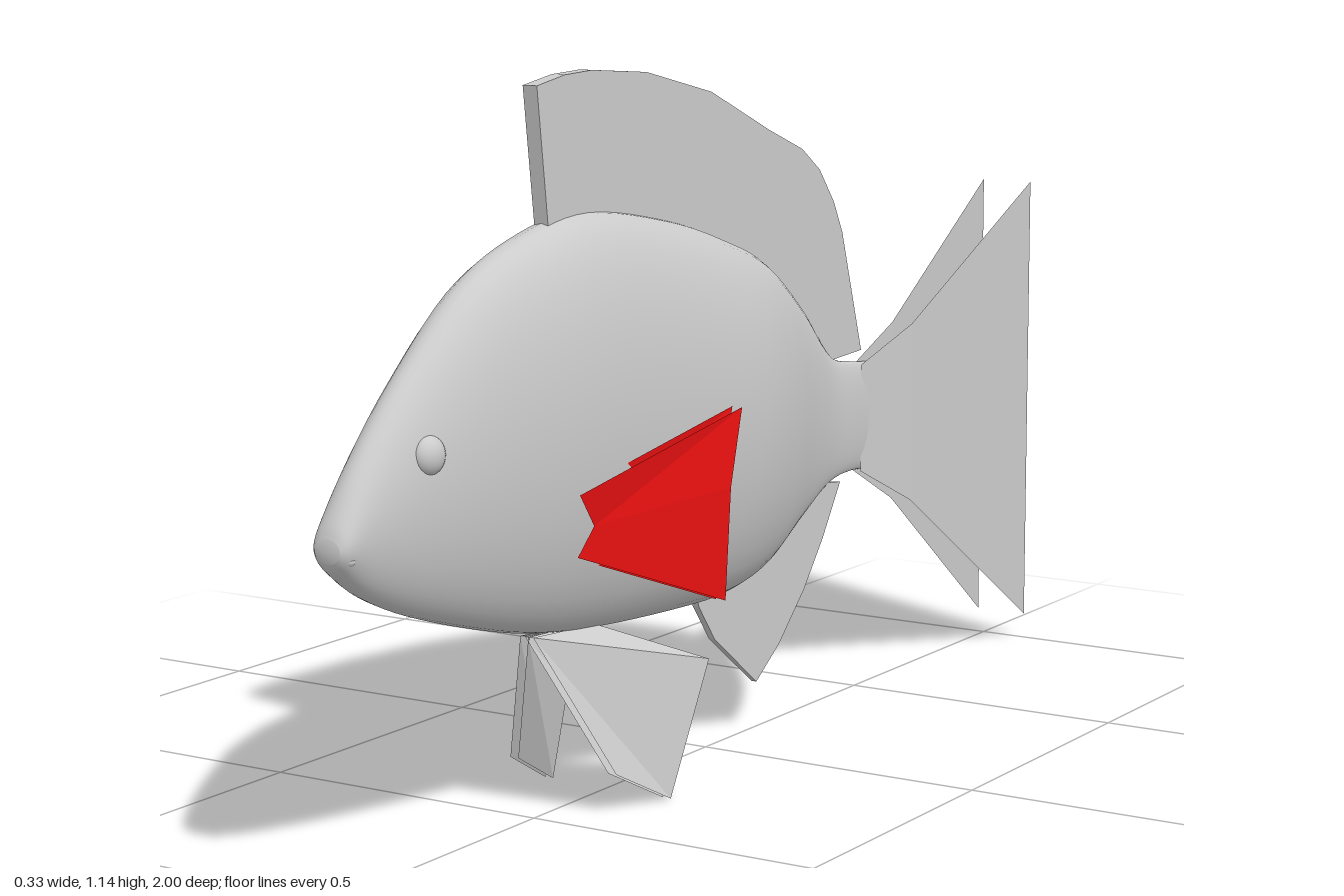
import * as THREE from 'three';

const grey = new THREE.MeshStandardMaterial({ color: 0xcccccc, side: THREE.DoubleSide });
const red = new THREE.MeshStandardMaterial({ color: 0xee1111, side: THREE.DoubleSide });

function add(group, name, geometry, material = grey) {
  const mesh = new THREE.Mesh(geometry, material);
  mesh.name = name;
  group.add(mesh);
  return mesh;
}

// Body stations: z, top y, bottom y, half width
const stations = [
  [1.0, 0.53, 0.495, 0.022], [0.985, 0.56, 0.475, 0.033], [0.93, 0.635, 0.435, 0.043],
  [0.83, 0.735, 0.39, 0.06], [0.675, 0.855, 0.34, 0.083], [0.515, 0.915, 0.3, 0.1],
  [0.35, 0.935, 0.277, 0.107], [0.13, 0.9, 0.262, 0.112], [-0.03, 0.855, 0.26, 0.11],
  [-0.16, 0.805, 0.283, 0.085], [-0.29, 0.715, 0.34, 0.046], [-0.4, 0.615, 0.388, 0.02],
  [-0.48, 0.593, 0.398, 0.016], [-0.56, 0.585, 0.392, 0.014],
];

// Smooth elliptical rings lofted from nose to tail root
function bodyGeometry(rings = 72, sides = 40) {
  const rail = (k) => new THREE.SplineCurve(stations.map((s) => new THREE.Vector2(s[0], s[k])));
  const [top, bottom, width] = [1, 2, 3].map(rail);
  const pos = [], index = [];
  for (let i = 0; i <= rings; i++) {
    const u = i / rings;
    const t = top.getPoint(u), b = bottom.getPoint(u).y, w = width.getPoint(u).y;
    for (let j = 0; j < sides; j++) {
      const a = (j / sides) * Math.PI * 2;
      pos.push(w * Math.cos(a), (t.y + b) / 2 + ((t.y - b) / 2) * Math.sin(a), t.x);
      if (i === rings) continue;
      const p = i * sides + j, q = i * sides + ((j + 1) % sides);
      index.push(p, p + sides, q, q, p + sides, q + sides);
    }
  }
  // End caps
  const n = pos.length / 3, last = rings * sides;
  pos.push(0, 0.5125, 1.004, 0, 0.4885, -0.56);
  for (let j = 0; j < sides; j++) {
    const k = (j + 1) % sides;
    index.push(n, j, k, n + 1, last + k, last + j);
  }
  const g = new THREE.BufferGeometry();
  g.setAttribute('position', new THREE.Float32BufferAttribute(pos, 3));
  g.setIndex(index);
  g.computeVertexNormals();
  return g;
}

// Upright fin plate from a z,y outline, thinner towards the rear
function plateGeometry(outline, thickness) {
  const shape = new THREE.Shape(outline.map(([z, y]) => new THREE.Vector2(z, y)));
  const g = new THREE.ExtrudeGeometry(shape, { depth: thickness, bevelEnabled: false });
  g.rotateY(-Math.PI / 2).translate(thickness / 2, 0, 0);
  const p = g.attributes.position;
  for (let i = 0; i < p.count; i++) {
    p.setX(i, p.getX(i) * THREE.MathUtils.mapLinear(p.getZ(i), -0.5, 0.5, 0.3, 1));
  }
  g.computeVertexNormals();
  return g;
}

// Flat membrane fanned out from its first corner
function sheetGeometry(points, dx = 0, mirror = 1) {
  const pos = [];
  for (let i = 1; i < points.length - 1; i++) {
    for (const [x, y, z] of [points[0], points[i], points[i + 1]]) pos.push((x + dx) * mirror, y, z);
  }
  const g = new THREE.BufferGeometry();
  g.setAttribute('position', new THREE.Float32BufferAttribute(pos, 3));
  g.computeVertexNormals();
  return g;
}

export function createModel() {
  const fish = new THREE.Group();
  fish.name = 'fish';
  add(fish, 'body', bodyGeometry());

  // Lips
  for (const [name, y, z] of [['upperLip', 0.52, 0.984], ['lowerLip', 0.498, 0.978]]) {
    const lip = add(fish, name, new THREE.SphereGeometry(1, 20, 12));
    lip.scale.set(0.033, 0.013, 0.018);
    lip.position.set(0, y, z);
  }

  // Dorsal and anal fins
  add(fish, 'dorsalFin', plateGeometry([
    [0.465, 0.9], [0.495, 1.135], [0.42, 1.147], [0.345, 1.15], [0.19, 1.138], [-0.005, 1.095],
    [-0.19, 1.02], [-0.3, 0.98], [-0.36, 0.94], [-0.41, 0.88], [-0.44, 0.825], [-0.51, 0.61],
    [-0.4, 0.605], [-0.28, 0.68], [-0.1, 0.8], [0.2, 0.87],
  ], 0.026));
  add(fish, 'analFin', plateGeometry([
    [0.04, 0.28], [0.03, 0.25], [-0.02, 0.185], [-0.155, 0.085], [-0.23, 0.135], [-0.315, 0.215],
    [-0.38, 0.295], [-0.44, 0.385], [-0.36, 0.395], [-0.2, 0.33],
  ], 0.018));

  // Tail: two membranes spreading apart towards the rear
  for (const [name, root, mid, end] of [['tailRight', -0.005, 0.0, -0.012], ['tailLeft', 0.01, 0.04, 0.085]]) {
    const tail = new THREE.Group();
    tail.name = name;
    add(tail, name + 'Root', sheetGeometry([
      [root, 0.585, -0.5], [mid, 0.645, -0.63], [mid, 0.325, -0.63], [root, 0.395, -0.5]]));
    add(tail, name + 'Fan', sheetGeometry([
      [mid, 0.645, -0.63], [end, 0.87, -1], [end, 0.05, -1], [mid, 0.325, -0.63]]));
    fish.add(tail);
  }

  // Paired parts
  const pectoral = [
    [0.095, 0.47, 0.47], [0.085, 0.425, 0.5], [0.147, 0.305, 0.175],
    [0.16, 0.49, 0.18], [0.165, 0.615, 0.155], [0.1, 0.525, 0.515],
  ];
  const pelvic = [
    [0.012, 0.295, 0.515], [0.1, 0.07, 0.42], [0.12, 0.005, 0.295],
    [0.135, 0.215, 0.205], [0.015, 0.285, 0.35],
  ];
  const lowered = pectoral.map(([x, y, z]) => [x, y > 0.6 ? y - 0.03 : y, z]);
  for (const [side, s] of [['left', 1], ['right', -1]]) {
    const eye = add(fish, side + 'Eye', new THREE.SphereGeometry(0.03, 24, 16));
    eye.position.set(0.048 * s, 0.628, 0.825);
    eye.scale.x = 0.75;

    // The left fin is red outside, the right one grey over red
    add(fish, side + 'PectoralOuter', sheetGeometry(s > 0 ? pectoral : lowered, 0, s), s > 0 ? red : grey);
    add(fish, side + 'PectoralInner', sheetGeometry(pectoral, -0.018, s), red);

    add(fish, side + 'PelvicOuter', sheetGeometry(pelvic, 0, s));
    add(fish, side + 'PelvicInner', sheetGeometry(pelvic, -0.015, s));
  }
  return fish;
}
